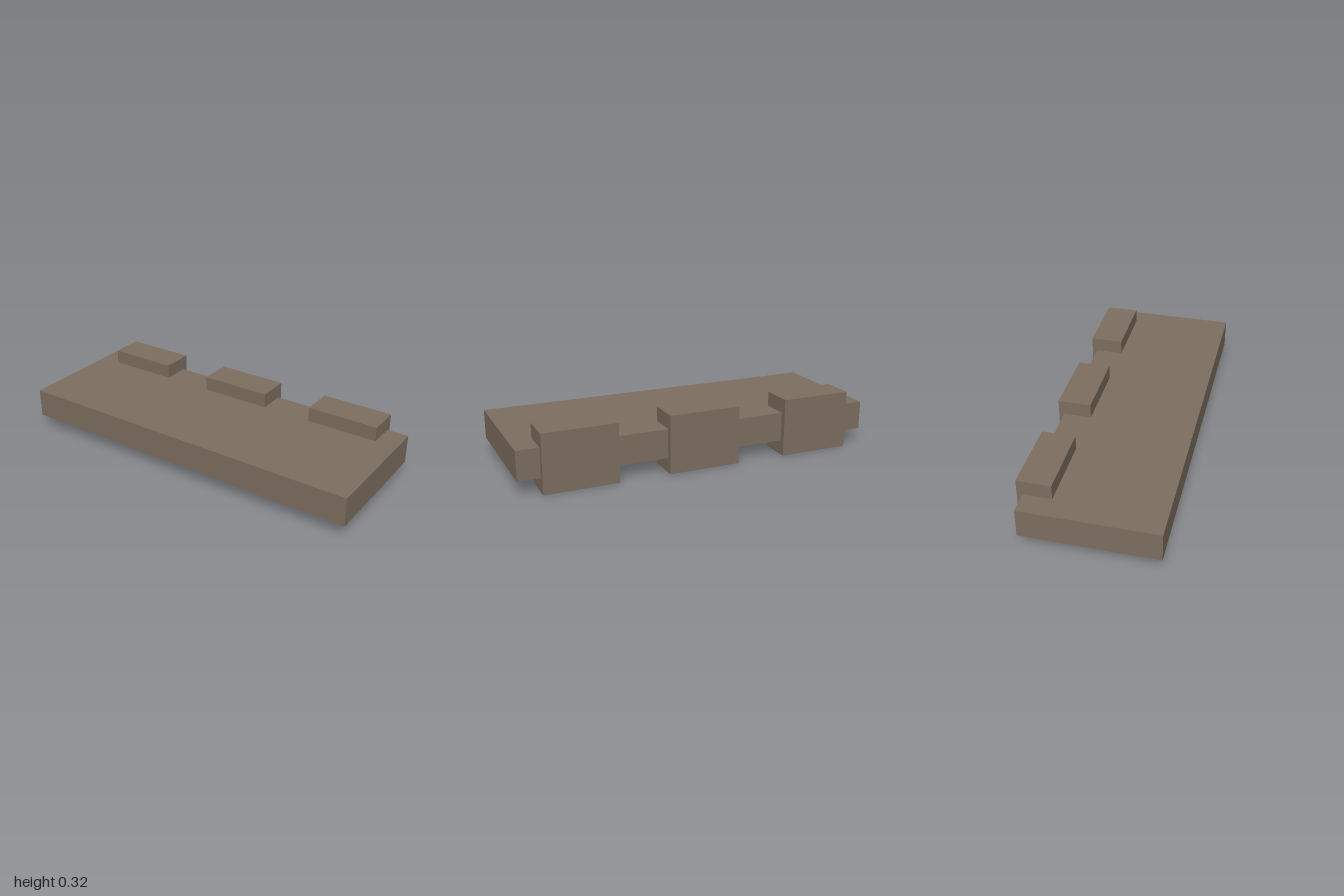
import * as THREE from 'three';

export function createModel() {
  const group = new THREE.Group();
  const brown = new THREE.MeshStandardMaterial({ color: 0x7d6e60 });
  brown.name = 'brown';

  function box(name, size, position) {
    const mesh = new THREE.Mesh(new THREE.BoxGeometry(...size), brown);
    mesh.name = name;
    mesh.position.set(...position);
    group.add(mesh);
  }

  // Flat slab
  box('slab', [2, 0.16, 0.718], [0, 0.16, 0.015]);

  // Three blocks wrapped around the back edge
  const blocks = { rightBlock: -0.68, middleBlock: 0, leftBlock: 0.68 };
  for (const [name, x] of Object.entries(blocks)) {
    box(name, [0.4, 0.32, 0.18], [x, 0.16, -0.284]);
  }

  return group;
}
